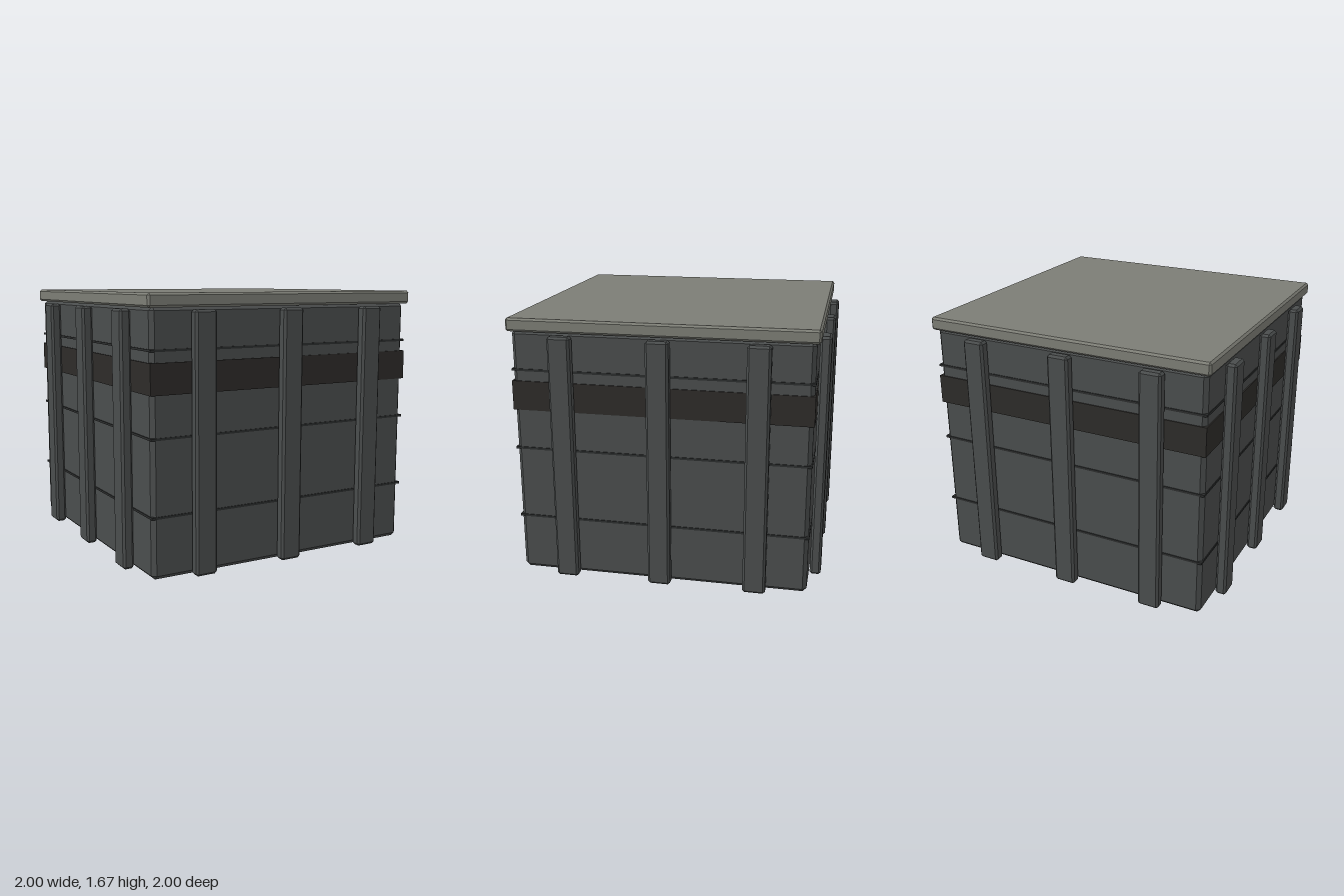
import * as THREE from 'three';
import { ConvexGeometry } from 'three/addons/geometries/ConvexGeometry.js';

const paint = (color) => new THREE.MeshStandardMaterial({ color });

// Box with a single flat chamfer on every edge
function chamferBox(w, h, d, c) {
  const [x, y, z] = [w / 2, h / 2, d / 2];
  const points = [];
  for (const sx of [-1, 1]) for (const sy of [-1, 1]) for (const sz of [-1, 1]) {
    points.push(
      new THREE.Vector3(sx * x, sy * (y - c), sz * (z - c)),
      new THREE.Vector3(sx * (x - c), sy * y, sz * (z - c)),
      new THREE.Vector3(sx * (x - c), sy * (y - c), sz * z));
  }
  return new ConvexGeometry(points);
}

export function createModel() {
  const model = new THREE.Group();
  model.name = 'crate';
  const bodyPaint = paint(0x4a4d4d);
  const lidPaint = paint(0x7c7d75);
  const bandPaint = paint(0x2d2b29);
  const seamPaint = paint(0x2b2d2d);

  const add = (parent, name, geometry, material, x, y, z) => {
    const mesh = new THREE.Mesh(geometry, material);
    mesh.name = name;
    mesh.position.set(x, y, z);
    parent.add(mesh);
  };

  // Main body and overhanging lid
  add(model, 'body', chamferBox(1.85, 1.595, 1.85, 0.025), bodyPaint, 0, 0.7975, 0);
  add(model, 'lid', chamferBox(1.9, 0.083, 1.9, 0.013), lidPaint, 0, 1.6285, 0);

  // Dark band and thin seams running right round the body
  add(model, 'band', new THREE.BoxGeometry(1.864, 0.186, 1.864), bandPaint, 0, 1.183, 0);
  for (const y of [0.375, 0.838, 1.346]) {
    add(model, 'seam', new THREE.BoxGeometry(1.86, 0.014, 1.86), seamPaint, 0, y, 0);
  }

  // Three upright ribs on each of the four sides
  const ribGeometry = chamferBox(0.142, 1.572, 0.07, 0.014);
  ['front', 'left', 'back', 'right'].forEach((side, i) => {
    const ribs = new THREE.Group();
    ribs.name = side + 'Ribs';
    ribs.rotation.y = i * Math.PI / 2;
    for (const x of [-0.603, 0, 0.603]) {
      add(ribs, 'rib', ribGeometry, bodyPaint, x, 0.789, 0.965);
    }
    model.add(ribs);
  });

  return model;
}
